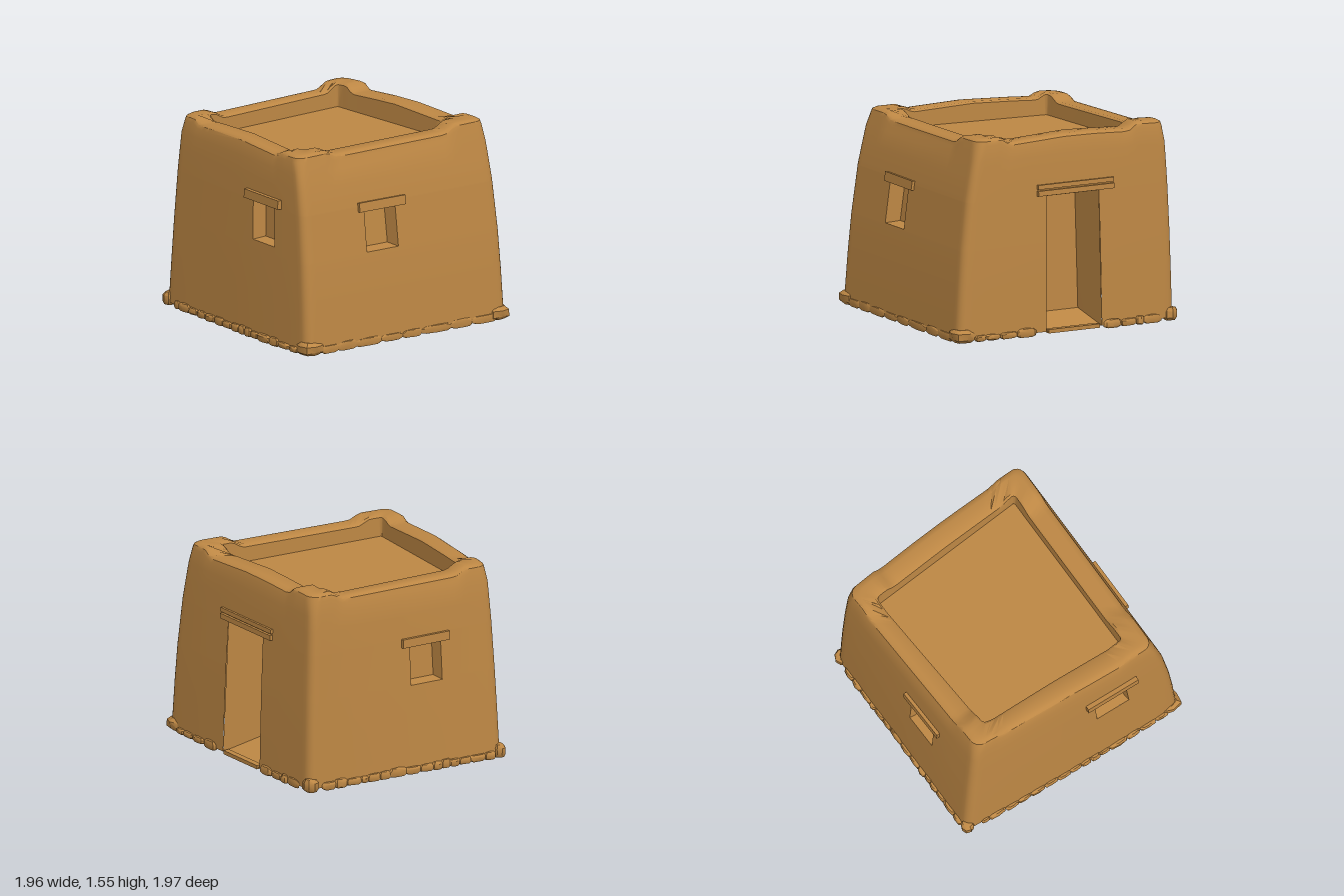
import * as THREE from 'three';
import { toCreasedNormals, mergeGeometries } from 'three/addons/utils/BufferGeometryUtils.js';

const clay = new THREE.MeshStandardMaterial({ color: 0xbd8744, side: THREE.DoubleSide });
clay.name = 'clay';

let seed = 11;
const rnd = (a, b) => {
  seed = (seed * 16807) % 2147483647;
  return a + (b - a) * (seed / 2147483647);
};
const { lerp, clamp, smoothstep } = THREE.MathUtils;

// Outer wall limits by height: y, xMin, xMax, zMin, zMax
const LIMITS = [
  [0.03, -0.95, 0.95, -0.955, 0.96],
  [0.6, -0.935, 0.935, -0.945, 0.92],
  [1.1, -0.917, 0.912, -0.93, 0.855],
  [1.4, -0.9, 0.895, -0.915, 0.79],
  [1.56, -0.885, 0.88, -0.895, 0.755],
];
function limits(y) {
  let i = 0;
  while (i < LIMITS.length - 2 && y > LIMITS[i + 1][0]) i++;
  const a = LIMITS[i], b = LIMITS[i + 1];
  const k = clamp((y - a[0]) / (b[0] - a[0]), 0, 1);
  return [1, 2, 3, 4].map((n) => lerp(a[n], b[n], k));
}
// Roof well corners: back left, back right, front left, front right as seen from the front
const WELL = [[-0.66, -0.65], [0.62, -0.735], [-0.71, 0.59], [0.7, 0.59]];
const ROOF_Y = 1.36;

// Openings: side (0 front, 1 door side, 2 back, 3 far side), range along the side, heights, depth
const OPENINGS = [
  { name: 'frontWindow', side: 0, a: [-0.365, -0.045], y: [0.72, 1.03], depth: 0.12 },
  { name: 'door', side: 1, a: [-0.205, 0.31], y: [0.03, 1.07], depth: 0.36 },
  { name: 'backWindow', side: 2, a: [0.075, 0.41], y: [0.7, 1.005], depth: 0.11 },
  { name: 'sideWindow', side: 3, a: [0.25, 0.57], y: [0.77, 1.08], depth: 0.11 },
];

// Point on the unit square: distance a along a side, turned to that side
function turn(side, a, out) {
  return [[a, out], [out, -a], [-a, -out], [-out, a]][side];
}

// Plan of one ring: straight runs with stops at the openings, then a rounded corner
const PLAN = [];
const STOPS = [0.54, 0.6, 0.66, 0.72, 0.78, 0.84, 0.89];
for (let side = 0; side < 4; side++) {
  [...STOPS.map((s) => -s), 0, ...STOPS, ...OPENINGS[side].a]
    .sort((p, q) => p - q).forEach((a) => PLAN.push({ side, a }));
  for (let k = 0; k <= 5; k++) PLAN.push({ side, arc: (k / 5) * Math.PI / 2 });
}
function unit(p, r) {
  if (p.arc === undefined) return turn(p.side, p.a, 1);
  return turn(p.side, 1 - r + r * Math.sin(p.arc), 1 - r + r * Math.cos(p.arc));
}

// Plan narrows towards the back, and the back wall leans in more at one end
function wallPoint(u, v, y, inset = 0) {
  const [x0, x1, z0, z1] = limits(y);
  const narrow = 1 - 0.1 * Math.pow((1 - v) / 2, 1.6);
  const skew = 0.01 + 0.075 * (y / 1.5) * (1 - u) / 2;
  const x = narrow * lerp(x0, x1, (u + 1) / 2) - u * inset;
  const z = v > 0 ? v * (z1 - inset) : -v * (z0 + skew + inset);
  return [x, y, z];
}
function wellPoint(u, v, y, grow) {
  const s = (u + 1) / 2, t = (v + 1) / 2;
  const at = (n) => lerp(lerp(WELL[0][n], WELL[1][n], s), lerp(WELL[2][n], WELL[3][n], s), t);
  return [at(0) + u * grow, y, at(1) + v * grow];
}

// Parapet height: raised corner blocks, swelling gently along the two flanks
function topY(x, z) {
  const cx = smoothstep(Math.abs(x), 0.5, 0.62);
  const cz = z > 0 ? smoothstep(z, 0.46, 0.56) : smoothstep(-z, 0.56, 0.65);
  const corner = Math.min(cx, cz);
  const swell = cx * 0.035 * Math.max(0, 1 - Math.abs(z + 0.1) / 0.7);
  return 1.487 + 0.008 * x + swell + corner * (0.047 + 0.008 * x);
}
function onTop([x, , z], drop) {
  return [x, topY(x, z) - drop, z];
}

function meshFrom(positions, index, name, crease = 0.7) {
  const g = new THREE.BufferGeometry();
  g.setAttribute('position', new THREE.Float32BufferAttribute(positions.flat(), 3));
  g.setIndex(index);
  const m = new THREE.Mesh(toCreasedNormals(g, crease), clay);
  m.name = name;
  return m;
}

// Walls, rounded parapet, roof well and roof as one continuous skin
function makeWalls() {
  const heights = [0.03, 0.15, 0.4, 0.7, 0.72, 0.77, 1.005, 1.03, 1.07, 1.08, 1.25, 1.38];
  const rings = heights.map((y) => PLAN.map((p) => wallPoint(...unit(p, 0.07), y)));
  // Rounded outer edge, then the inner edge
  [[0.05, 0], [0.018, 0.008], [0.004, 0.028], [0, 0.055]].forEach(([drop, inset]) => {
    rings.push(PLAN.map((p) => onTop(wallPoint(...unit(p, 0.09), 1.5, inset), drop)));
  });
  [[0.002, 0.02], [0.015, 0.003]].forEach(([drop, grow]) => {
    rings.push(PLAN.map((p) => onTop(wellPoint(...unit(p, 0.04), 0, grow), drop)));
  });
  rings.push(PLAN.map((p) => wellPoint(...unit(p, 0.02), ROOF_Y, 0)));

  const n = PLAN.length, index = [];
  for (let j = 0; j < rings.length - 1; j++) {
    for (let i = 0; i < n; i++) {
      const p = PLAN[i], q = PLAN[(i + 1) % n], o = OPENINGS[p.side];
      const open = p.arc === undefined && q.arc === undefined && j < heights.length - 1 &&
        p.a >= o.a[0] && q.a <= o.a[1] && heights[j] >= o.y[0] && heights[j + 1] <= o.y[1];
      if (open) continue;
      const a = j * n + i, b = j * n + (i + 1) % n;
      index.push(a, b, b + n, a, b + n, a + n);
    }
  }
  const last = (rings.length - 1) * n;
  const points = rings.flat();
  points.push([0, ROOF_Y, -0.04]);
  for (let i = 0; i < n; i++) index.push(last + i, last + (i + 1) % n, points.length - 1);
  return meshFrom(points, index, 'wallsAndRoof');
}

// Closed niche behind an opening, slightly splayed
function makeNiche({ name, side, a, y, depth }) {
  const rim = [[a[0], y[0]], [a[1], y[0]], [a[1], y[1]], [a[0], y[1]]]
    .map(([s, h]) => wallPoint(...turn(side, s, 1), h));
  const [ox, oz] = turn(side, 0, 1);
  const [tx, tz] = turn(side, 1, 0);
  const [rise, fall] = side === 1 ? [0.08, 0.05] : [0.01, 0.005];
  const back = rim.map(([x, h, z], k) => {
    const splay = k === 0 || k === 3 ? 0.015 : -0.015;
    return [x - ox * depth + tx * splay, h + (k < 2 ? rise : -fall), z - oz * depth + tz * splay];
  });
  const index = [4, 5, 6, 4, 6, 7];
  for (let k = 0; k < 4; k++) {
    const m = (k + 1) % 4;
    index.push(k, m, m + 4, k, m + 4, k + 4);
  }
  return meshFrom([...rim, ...back], index, name + 'Niche', 0.3);
}

function makeBeam(name, w, h, d, pos, yaw, lean, roll = 0) {
  const m = new THREE.Mesh(new THREE.BoxGeometry(w, h, d), clay);
  m.name = name;
  m.position.set(...pos);
  m.rotation.set(-lean, yaw, roll, 'YXZ');
  return m;
}

// Rough flattened stone, resting no lower than the ground
function stone(x, y, z, sx, sy, sz) {
  const g = new THREE.SphereGeometry(1, 8, 5);
  const p = g.attributes.position;
  const ph = rnd(0, 6);
  for (let i = 0; i < p.count; i++) {
    const [a, b, c] = [p.getX(i), p.getY(i), p.getZ(i)];
    const k = 1 + 0.1 * Math.sin(4 * a + ph) * Math.cos(3 * c + 2 * b + ph);
    const box = (t) => Math.sign(t) * Math.pow(Math.abs(t), 0.75) * k;
    p.setXYZ(i, x + box(a) * sx, Math.max(0.006, y + box(b) * sy), z + box(c) * sz);
  }
  return toCreasedNormals(g, 0.6);
}

function makeFooting() {
  const parts = [];
  for (let side = 0; side < 4; side++) {
    let s = -0.86;
    while (s < 0.84) {
      const half = side === 0 ? rnd(0.09, 0.17) : rnd(0.035, 0.09);
      const c = s + half;
      s += half * 1.9;
      if (side === 1 && c + half > -0.2 && c - half < 0.31) continue;
      const [x, , z] = wallPoint(...turn(side, c, 1), 0.03);
      const out = side === 0 ? 0.01 : rnd(0.018, 0.03);
      const tall = rnd(0.025, 0.045);
      const along = side % 2 === 0;
      parts.push(stone(x, 0.035, z, along ? half : out, tall, along ? out : half));
    }
  }
  // Larger stones wrap the corners
  [[-1, -1, 0.05], [1, -1, 0.06], [1, 1, 0.095], [-1, 1, 0.1]].forEach(([u, v, r]) => {
    const [x, , z] = wallPoint(u, v, 0.03, r - 0.03);
    parts.push(stone(x, 0.055, z, r, 0.06, r));
  });
  const m = new THREE.Mesh(mergeGeometries(parts), clay);
  m.name = 'footingStones';
  return m;
}

export function createModel() {
  const house = new THREE.Group();
  house.name = 'mudHouse';
  house.add(makeWalls(), makeFooting());
  OPENINGS.forEach((o) => house.add(makeNiche(o)));
  const half = Math.PI / 2;
  house.add(
    makeBeam('frontLintel', 0.435, 0.072, 0.05, [-0.175, 1.066, 0.857], 0, 0.13, -0.006),
    makeBeam('backLintel', 0.42, 0.068, 0.05, [-0.2, 1.04, -0.89], Math.PI + 0.03, 0.04),
    makeBeam('sideLintel', 0.45, 0.068, 0.05, [-0.912, 1.115, 0.36], -half - 0.04, 0.04),
    makeBeam('doorLintelLower', 0.67, 0.04, 0.05, [0.876, 1.095, -0.075], half + 0.055, 0.04),
    makeBeam('doorLintelUpper', 0.67, 0.034, 0.045, [0.872, 1.143, -0.075], half + 0.055, 0.04),
    makeBeam('doorThreshold', 0.45, 0.03, 0.05, [0.9, 0.032, -0.045], half + 0.055, 0),
  );
  return house;
}
